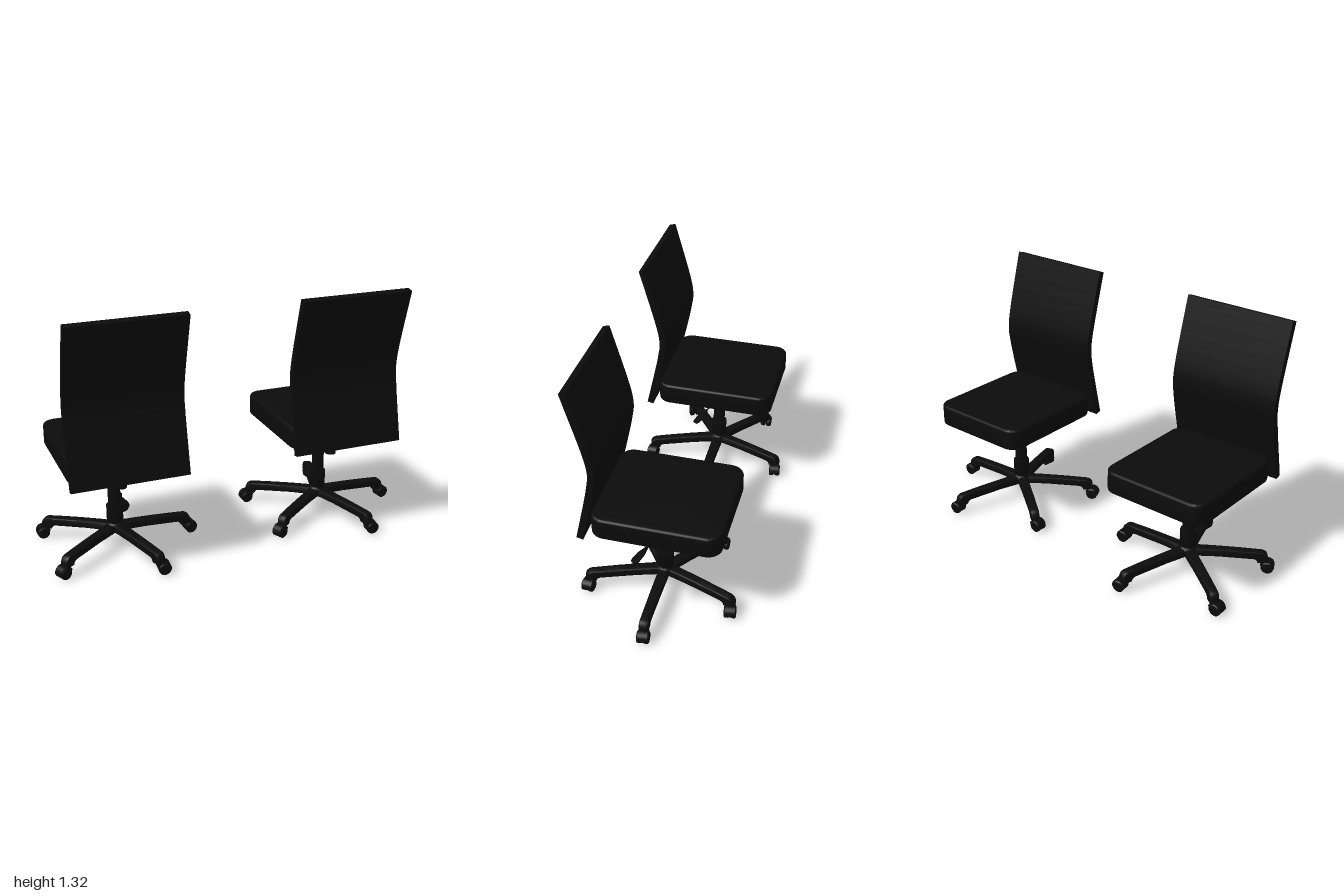
import * as THREE from 'three';
import { toCreasedNormals } from 'three/addons/utils/BufferGeometryUtils.js';

const black = new THREE.MeshStandardMaterial({ color: 0x0b0b0b });
const grey = new THREE.MeshStandardMaterial({ color: 0xcccccc });

function add(parent, name, geometry, material = black) {
  const mesh = new THREE.Mesh(geometry, material);
  mesh.name = name;
  parent.add(mesh);
  return mesh;
}

function group(parent, name) {
  const g = new THREE.Group();
  g.name = name;
  parent.add(g);
  return g;
}

const creased = (geometry) => toCreasedNormals(geometry, 0.6);
const vectors = (points) => points.map(([x, y]) => new THREE.Vector2(x, y));

// Upright turned part from a radius/height profile
const turned = (points, sides = 32) => creased(new THREE.LatheGeometry(vectors(points), sides));

// Cushion: rounded outline with softened rims
function seatGeometry() {
  const bevel = 0.012, w = 0.2875 - bevel, d = 0.32 - bevel, r = 0.06;
  const s = new THREE.Shape();
  s.absarc(w - r, d - r, r, 0, Math.PI / 2);
  s.absarc(-w + r, d - r, r, Math.PI / 2, Math.PI);
  s.absarc(-w + r, -d + r, r, Math.PI, Math.PI * 1.5);
  s.absarc(w - r, -d + r, r, Math.PI * 1.5, Math.PI * 2);
  const g = new THREE.ExtrudeGeometry(s, {
    depth: 0.115 - 2 * bevel, bevelThickness: bevel, bevelSize: bevel, bevelSegments: 3, curveSegments: 8
  });
  g.rotateX(-Math.PI / 2).translate(0, 0.505 + bevel, -0.025);
  return creased(g);
}

// Backrest: constant-thickness curved panel swept across the width
function backrestGeometry() {
  const line = new THREE.SplineCurve(vectors([
    [0.332, 0.498], [0.284, 0.71], [0.262, 0.82], [0.254, 0.9], [0.275, 1.02], [0.358, 1.318]
  ]));
  const front = [], back = [];
  for (let i = 0; i <= 24; i++) {
    const p = line.getPoint(i / 24), t = line.getTangent(i / 24);
    const n = new THREE.Vector2(t.y, -t.x).multiplyScalar(0.017);
    back.push(p.clone().add(n));
    front.push(p.clone().sub(n));
  }
  const g = new THREE.ExtrudeGeometry(new THREE.Shape([...back, ...front.reverse()]), {
    depth: 0.595, bevelEnabled: false
  });
  // profile x becomes z, extrusion runs along -x
  g.rotateY(-Math.PI / 2).translate(0.2975, 0, 0);
  return creased(g);
}

// Base leg: side profile, narrowing outward
function legGeometry() {
  const s = new THREE.Shape();
  s.moveTo(0, 0.095);
  s.lineTo(0.15, 0.094);
  s.lineTo(0.33, 0.084);
  s.quadraticCurveTo(0.357, 0.082, 0.36, 0.062);
  s.lineTo(0.402, 0.062);
  s.quadraticCurveTo(0.408, 0.108, 0.375, 0.111);
  s.quadraticCurveTo(0.2, 0.124, 0, 0.126);
  const g = new THREE.ExtrudeGeometry(s, {
    depth: 0.03, bevelThickness: 0.01, bevelSize: 0.006, bevelSegments: 3, curveSegments: 8
  });
  g.translate(0, 0, -0.015);
  const p = g.attributes.position;
  for (let i = 0; i < p.count; i++) p.setZ(i, p.getZ(i) * (1.1 - 0.5 * p.getX(i)));
  return creased(g);
}

// Twin-wheel caster trailing towards its own +x
function buildCaster(parent) {
  const caster = group(parent, 'caster');
  add(caster, 'casterStem', new THREE.CylinderGeometry(0.012, 0.012, 0.05, 16)).position.y = 0.06;
  for (const side of [-1, 1]) {
    const wheel = turned([[0, -0.013], [0.028, -0.013], [0.032, -0.009], [0.032, 0.008], [0.026, 0.013], [0, 0.013]], 24);
    wheel.rotateX(side * Math.PI / 2);
    add(caster, 'wheel', wheel).position.set(0.022, 0.034, side * 0.0175);
  }
  const hood = new THREE.Shape();
  hood.absarc(0, 0, 0.036, -0.2, 2.9, false);
  const g = new THREE.ExtrudeGeometry(hood, { depth: 0.05, bevelEnabled: false, curveSegments: 12 });
  add(caster, 'casterHood', creased(g.translate(0.02, 0.034, -0.025)));
  return caster;
}

// Height lever: bent wire ending in a flat tilted paddle
function buildLever(parent) {
  const lever = group(parent, 'heightLever');
  const path = new THREE.CatmullRomCurve3([
    [0, 0.483, 0], [0.12, 0.484, 0], [0.2, 0.482, 0.002], [0.23, 0.465, 0.014], [0.262, 0.44, 0.04]
  ].map((p) => new THREE.Vector3(...p)));
  add(lever, 'leverRod', new THREE.TubeGeometry(path, 24, 0.005, 8));
  const outline = vectors([
    [0.238, 0.005], [0.25, -0.05], [0.275, -0.075], [0.29, -0.078],
    [0.322, -0.05], [0.326, -0.03], [0.31, -0.015], [0.28, 0.002]
  ]);
  const g = new THREE.ExtrudeGeometry(new THREE.Shape(outline), {
    depth: 0.006, bevelThickness: 0.004, bevelSize: 0.003, bevelSegments: 2
  });
  g.translate(0, 0, -0.003).rotateX(-0.82).translate(0, 0.457, 0.022);
  add(lever, 'leverPaddle', creased(g));
}

function buildChair(parent, x) {
  const chair = group(parent, 'officeChair');
  chair.position.x = x;
  add(chair, 'seat', seatGeometry());
  add(chair, 'backrest', backrestGeometry());

  // Central column, gas stem and seat mount
  add(chair, 'columnSleeve', turned([
    [0, 0.085], [0.035, 0.085], [0.05, 0.1], [0.05, 0.125], [0.038, 0.14], [0.043, 0.15],
    [0.043, 0.235], [0.033, 0.235], [0.032, 0.4], [0, 0.4]
  ]));
  add(chair, 'gasStem', new THREE.CylinderGeometry(0.019, 0.019, 0.07, 24), grey).position.y = 0.433;
  add(chair, 'seatMount', turned([
    [0, 0.465], [0.03, 0.465], [0.03, 0.485], [0.018, 0.485], [0.018, 0.51], [0, 0.51]
  ]));
  // Tension knob under the rear of the seat
  add(chair, 'tensionKnob', turned([
    [0, 0.395], [0.029, 0.395], [0.029, 0.465], [0.022, 0.465], [0.022, 0.51], [0, 0.51]
  ])).position.z = 0.143;
  buildLever(chair);

  // Five-legged base with individually swivelled casters
  const base = group(chair, 'base');
  const swivels = [0.08, -0.1, -2.7, Math.PI, 0.12];
  swivels.forEach((swivel, i) => {
    const a = -i * Math.PI * 2 / 5;
    add(base, 'leg', legGeometry()).rotation.y = a;
    const caster = buildCaster(base);
    caster.position.set(Math.cos(a) * 0.388, 0, -Math.sin(a) * 0.388);
    caster.rotation.y = swivel;
  });
}

export function createModel() {
  const model = new THREE.Group();
  model.name = 'officeChairPair';
  for (const x of [-0.625, 0.545]) buildChair(model, x);
  return model;
}
